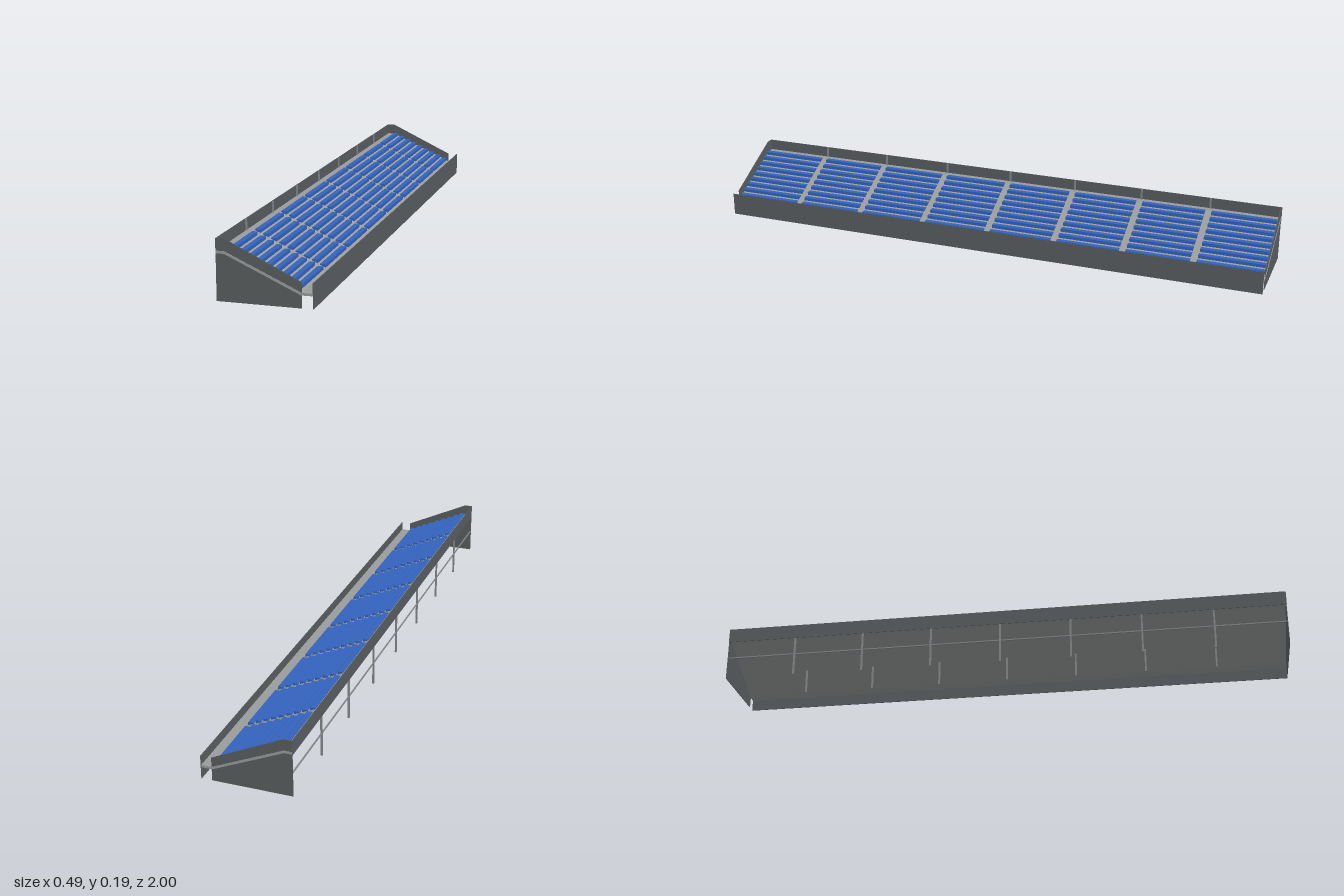
import * as THREE from 'three';

const L = 1.98;             // length of the stand
const BACK = -0.151, FRONT = 0.151;
const BAYS = 8, ROWS = 9;

function material(name, color) {
  const m = new THREE.MeshStandardMaterial({ color });
  m.name = name;
  return m;
}

export function createModel() {
  const concrete = material('light concrete', 0x9b9d9d);
  const wall = material('dark wall grey', 0x595e60);
  const seatBlue = material('seat blue', 0x3363bd);
  const steel = material('steel grey', 0x85898b);

  const model = new THREE.Group();
  model.name = 'grandstand';
  const stand = new THREE.Group();
  stand.name = 'stand';
  stand.rotation.y = THREE.MathUtils.degToRad(-5.45);
  model.add(stand);

  // box given by its limits on each axis
  function box(name, mat, x0, x1, y0, y1, z0, z1, parent = stand) {
    const mesh = new THREE.Mesh(new THREE.BoxGeometry(x1 - x0, y1 - y0, z1 - z0), mat);
    mesh.position.set((x0 + x1) / 2, (y0 + y1) / 2, (z0 + z1) / 2);
    mesh.name = name;
    parent.add(mesh);
    return mesh;
  }

  // profile in x and y, extruded along z
  function prism(name, mat, points, z0, z1) {
    const shape = new THREE.Shape(points.map(([x, y]) => new THREE.Vector2(x, y)));
    const geo = new THREE.ExtrudeGeometry(shape, { depth: z1 - z0, bevelEnabled: false });
    geo.translate(0, 0, z0);
    const mesh = new THREE.Mesh(geo, mat);
    mesh.name = name;
    stand.add(mesh);
  }

  // sloping deck with flat walkways at the top and bottom
  prism('deck', concrete, [
    [BACK + 0.001, 0.147], [-0.125, 0.147], [0.113, 0.04], [FRONT - 0.002, 0.04],
    [FRONT - 0.002, 0.048], [0.115, 0.048], [-0.123, 0.155], [BACK + 0.001, 0.155],
  ], -L / 2, L / 2);

  // end walls
  for (const s of [-1, 1]) {
    const z = s * (L / 2 - 0.002);
    prism(s > 0 ? 'nearEndWall' : 'farEndWall', wall, [
      [BACK, 0], [0.115, 0], [0.115, 0.08], [-0.123, 0.193], [BACK, 0.193],
    ], z - 0.001, z + 0.001);
  }

  // front and back parapets
  box('frontWall', wall, FRONT - 0.002, FRONT, 0, 0.08, -L / 2, L / 2);
  box('backWall', wall, BACK, BACK + 0.002, 0.143, 0.193, -L / 2, L / 2);

  // rows of seats, split by the aisles
  const seats = new THREE.Group();
  seats.name = 'seats';
  stand.add(seats);
  const bay = L / BAYS, aisle = 0.024;
  for (let r = 0; r < ROWS; r++) {
    const x = -0.105 + 0.0265 * r, top = 0.158 - 0.0119 * r;
    for (let b = 0; b < BAYS; b++) {
      const z0 = -L / 2 + b * bay + (b === 0 ? 0.004 : aisle / 2);
      const z1 = -L / 2 + (b + 1) * bay - (b === BAYS - 1 ? 0.004 : aisle / 2);
      box('seatRow', seatBlue, x - 0.018, x, top - 0.011, top, z0, z1, seats);
    }
  }

  // posts at each aisle: tall ones at the back, short ones under the deck
  const frame = new THREE.Group();
  frame.name = 'supportFrame';
  stand.add(frame);
  const w = 0.003;
  for (let i = 1; i < BAYS; i++) {
    const z = -L / 2 + i * bay;
    box('backPost', steel, BACK + 0.0005, BACK + 0.0065, 0, 0.192, z - w, z + w, frame);
    box('middlePost', steel, 0.014 - w, 0.014 + w, 0, 0.088, z - w, z + w, frame);
  }
  box('backRail', steel, BACK + 0.001, BACK + 0.005, 0.078, 0.082, -L / 2 + 0.003, L / 2 - 0.003, frame);

  return model;
}
